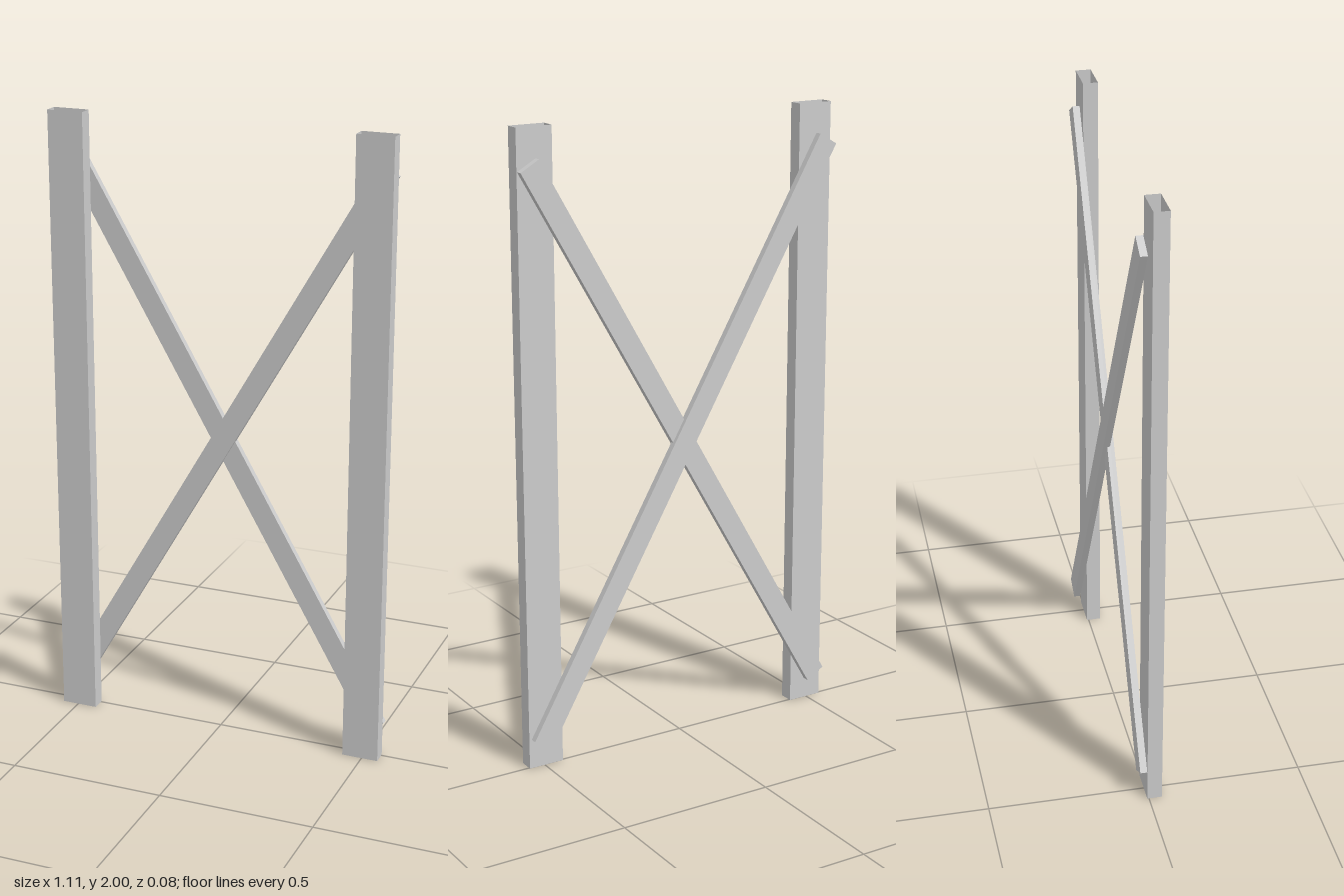
import * as THREE from 'three';

const material = new THREE.MeshStandardMaterial({ color: 0xcccccc, flatShading: true, side: THREE.DoubleSide });

// Thin-walled rectangular tube, open at top and bottom
function openTube(w, h, d) {
  const geo = new THREE.BoxGeometry(w, h, d);
  const index = Array.from(geo.index.array);
  index.splice(12, 12); // drop the top and bottom faces
  geo.setIndex(index);
  geo.clearGroups();
  return geo;
}

export function createModel() {
  const model = new THREE.Group();
  model.name = 'crossBracedFrame';

  const add = (name, geo, x, y, z, tilt = 0) => {
    const mesh = new THREE.Mesh(geo, material);
    mesh.name = name;
    mesh.position.set(x, y, z);
    mesh.rotation.z = tilt;
    model.add(mesh);
  };

  // Upright hollow posts
  const post = openTube(0.117, 2, 0.047);
  add('leftPost', post, 0.494, 1, 0.018);
  add('rightPost', post, -0.494, 1, 0.018);

  // Diagonal braces, lapped at the crossing behind the posts
  const brace = new THREE.BoxGeometry(0.07, 2.083, 0.022);
  add('innerBrace', brace, 0, 0.988, -0.017, -Math.PI / 6);
  add('outerBrace', brace, 0, 0.988, -0.030, Math.PI / 6);

  return model;
}
